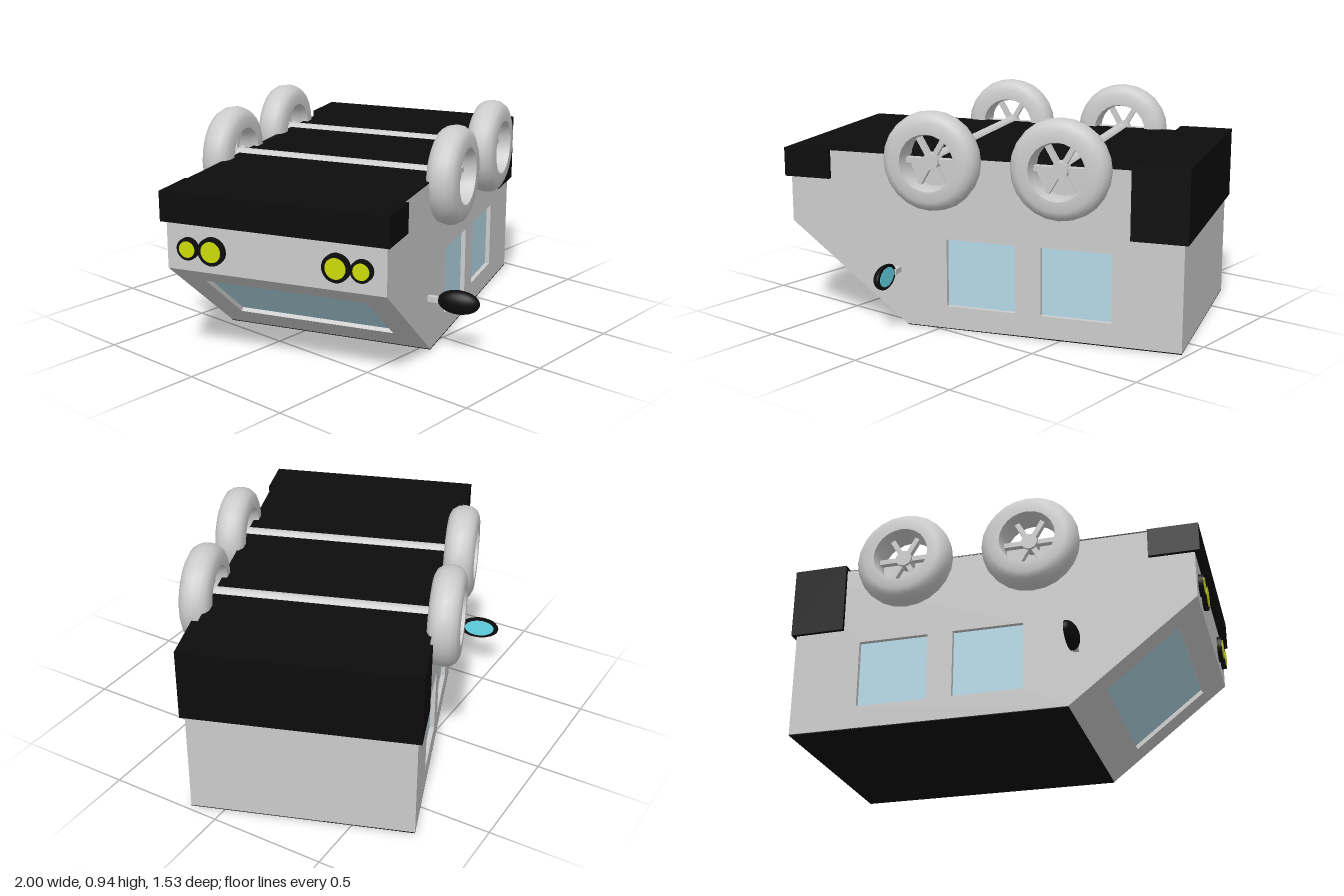
import * as THREE from 'three';
import { toCreasedNormals } from 'three/addons/utils/BufferGeometryUtils.js';

const mat = (color) => new THREE.MeshStandardMaterial({ color });
const grey = mat(0xcccccc), black = mat(0x0c0c0c), glass = mat(0xb3d8e6);
const yellow = mat(0xccdd08), cyan = mat(0x66ddee);

function add(parent, name, geometry, material, x = 0, y = 0, z = 0) {
  const mesh = new THREE.Mesh(geometry, material);
  mesh.name = name;
  mesh.position.set(x, y, z);
  parent.add(mesh);
  return mesh;
}

// Box given by its limits along each axis
function block(parent, name, material, x0, x1, y0, y1, z0, z1) {
  const g = new THREE.BoxGeometry(x1 - x0, y1 - y0, z1 - z0);
  return add(parent, name, g, material, (x0 + x1) / 2, (y0 + y1) / 2, (z0 + z1) / 2);
}

// Side profile extruded across the van from z0 to z1
function slab(parent, name, points, z0, z1, holes = []) {
  const shape = new THREE.Shape(points.map((p) => new THREE.Vector2(...p)));
  for (const [a, b, c, d] of holes) {
    shape.holes.push(new THREE.Path([[a, c], [a, d], [b, d], [b, c]].map((p) => new THREE.Vector2(...p))));
  }
  const g = new THREE.ExtrudeGeometry(shape, { depth: z1 - z0, bevelEnabled: false });
  return add(parent, name, g, grey, 0, 0, z0);
}

// Round disc whose axis runs along x
const disc = (r, depth) => new THREE.CylinderGeometry(r, r, depth, 28).rotateZ(Math.PI / 2);

function makeWheel() {
  const wheel = new THREE.Group();
  wheel.name = 'wheel';
  const profile = [[0.12, -0.065], [0.165, -0.065], [0.19, -0.053], [0.205, -0.03], [0.21, 0], [0.205, 0.03],
    [0.19, 0.053], [0.165, 0.065], [0.12, 0.065], [0.112, 0.03], [0.112, -0.03], [0.12, -0.065]];
  const tyre = new THREE.LatheGeometry(profile.map((p) => new THREE.Vector2(...p)), 24).rotateX(Math.PI / 2);
  add(wheel, 'tyre', toCreasedNormals(tyre, 0.65), grey);
  add(wheel, 'hub', new THREE.CylinderGeometry(0.035, 0.035, 0.05, 16).rotateX(Math.PI / 2), grey);
  for (let i = 0; i < 6; i++) {
    const spoke = add(wheel, 'spoke', new THREE.BoxGeometry(0.1, 0.022, 0.025).translate(0.07, 0, 0), grey);
    spoke.rotation.z = (i * Math.PI) / 3;
  }
  return wheel;
}

function makeMirror() {
  const mirror = new THREE.Group();
  mirror.name = 'sideMirror';
  const dome = new THREE.SphereGeometry(1, 24, 10, 0, Math.PI * 2, 0, Math.PI / 2).rotateZ(Math.PI / 2);
  add(mirror, 'mirrorShell', dome.scale(0.04, 0.052, 0.09), black);
  add(mirror, 'mirrorRim', disc(1, 0.008).scale(1, 0.052, 0.09), black);
  add(mirror, 'mirrorGlass', disc(1, 0.012).scale(1, 0.04, 0.068), cyan);
  return mirror;
}

export function createModel() {
  const model = new THREE.Group();
  model.name = 'overturnedVan';
  const van = new THREE.Group();
  van.name = 'van';
  van.rotation.y = THREE.MathUtils.degToRad(20);
  van.position.set(0.003, 0, -0.008);
  model.add(van);

  // Body: the van lies on its roof with its nose toward -x
  const W = 0.468, skin = 0.022, wind = 0.35;
  const nose = [-0.862, 0.42], brow = [-0.327, 0.003];
  const slope = (t, inset = 0) => [nose[0] + (brow[0] - nose[0]) * t + 0.617 * inset,
    nose[1] + (brow[1] - nose[1]) * t + 0.787 * inset];
  const rest = [[0.867, 0.003], [0.867, 0.745], [-0.862, 0.745]];
  const full = [nose, brow, ...rest];
  const notched = [nose, slope(0.167), slope(0.167, 0.02), slope(0.75, 0.02), slope(0.75), brow, ...rest];
  const windows = [[-0.144, 0.16, 0.1, 0.393], [0.271, 0.574, 0.1, 0.393]];
  slab(van, 'bodyCentre', notched, -wind, wind);
  for (const s of [-1, 1]) {
    const span = (a, b) => (s > 0 ? [a, b] : [-b, -a]);
    slab(van, 'bodyShoulder', full, ...span(wind, W - skin));
    slab(van, 'bodySide', full, ...span(W - skin, W), windows);
    for (const [a, b, c, d] of windows) {
      block(van, 'sideWindow', glass, a, b, c, d, ...span(W - skin - 0.01, W - skin + 0.002));
    }
  }
  block(van, 'floor', black, -0.862, 0.867, 0.742, 0.748, -W, W);
  block(van, 'roof', black, -0.327, 0.867, 0, 0.004, -W, W);

  // Windscreen set into the sloping front
  const [sx, sy] = slope(0.4585, 0.02);
  const screen = add(van, 'windscreen', new THREE.BoxGeometry(0.395, 0.004, wind * 2), glass, sx, sy, 0);
  screen.rotation.z = Math.atan2(brow[1] - nose[1], brow[0] - nose[0]);

  // Bumpers
  block(van, 'frontBumper', black, -0.885, -0.674, 0.62, 0.745, -0.485, 0.485);
  block(van, 'rearBumper', black, 0.649, 0.885, 0.457, 0.766, -0.485, 0.485);

  // Axles and wheels
  for (const x of [-0.187, 0.367]) {
    add(van, 'axle', new THREE.CylinderGeometry(0.03, 0.03, 1.02, 20).rotateX(Math.PI / 2), grey, x, 0.735, 0);
    for (const s of [-1, 1]) {
      const wheel = makeWheel();
      wheel.position.set(x, 0.735, s * 0.51);
      van.add(wheel);
    }
  }

  // Twin headlights and side mirrors
  for (const s of [-1, 1]) {
    for (const [z, r] of [[0.265, 0.058], [0.37, 0.046]]) {
      add(van, 'headlightRim', disc(r, 0.04), black, -0.862, 0.515, s * z);
      add(van, 'headlightLens', disc(r * 0.74, 0.046), yellow, -0.862, 0.515, s * z);
    }
    const mirror = makeMirror();
    mirror.position.set(-0.365, 0.245, s * 0.6);
    van.add(mirror);
    block(van, 'mirrorStalk', grey, -0.375, -0.353, 0.233, 0.257, s * 0.49 - 0.035, s * 0.49 + 0.035);
  }
  return model;
}
